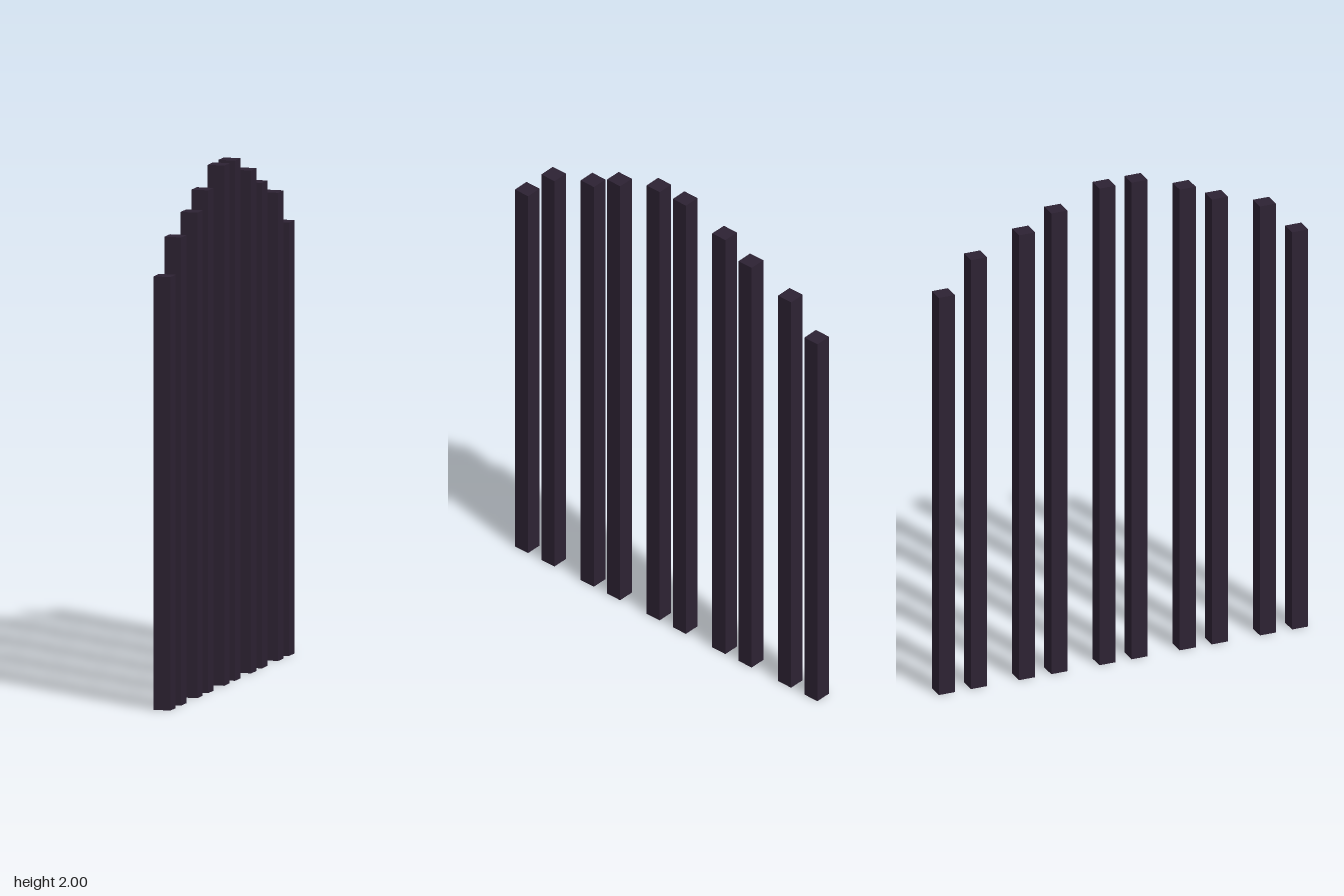
import * as THREE from 'three';

export function createModel() {
  const model = new THREE.Group();
  model.name = 'barGate';
  const darkIron = new THREE.MeshStandardMaterial({ color: 0x2d2233 });
  darkIron.name = 'darkIron';

  // Everything sits on a grid of 1/15 unit: [distance from centre, height]
  const unit = 1 / 15;
  const bars = [[1, 30], [4, 29], [6, 28], [9, 27], [11, 25]];

  // Square upright bars, mirrored front to back under an arched top line
  for (const side of [1, -1]) {
    bars.forEach(([offset, height], i) => {
      const bar = new THREE.Mesh(new THREE.BoxGeometry(unit, height * unit, unit), darkIron);
      bar.position.set(0, height * unit / 2, side * offset * unit);
      bar.name = `${side > 0 ? 'front' : 'back'}Bar${i + 1}`;
      model.add(bar);
    });
  }
  return model;
}
